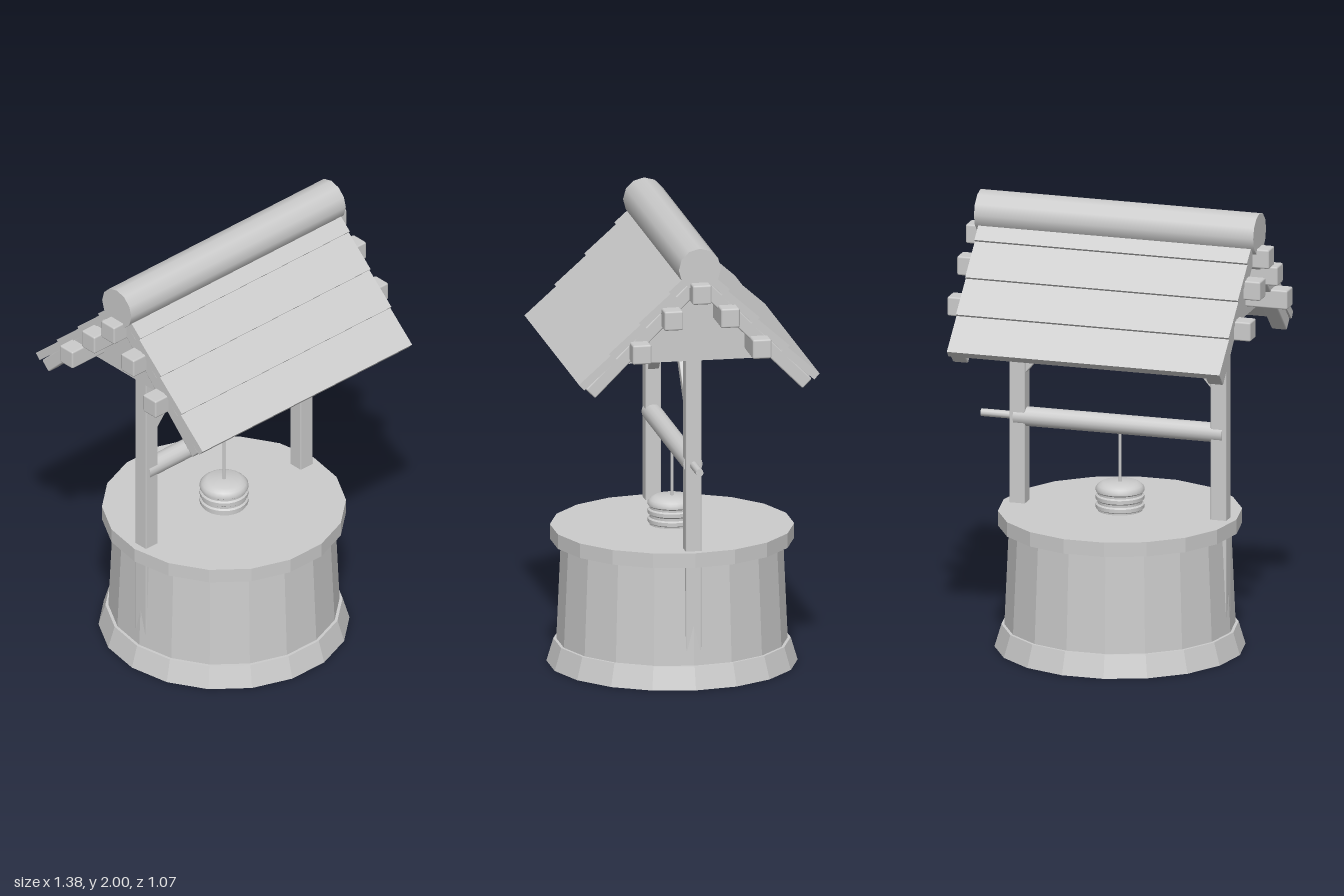
import * as THREE from 'three';
import { toCreasedNormals } from 'three/addons/utils/BufferGeometryUtils.js';
import { RoundedBoxGeometry } from 'three/addons/geometries/RoundedBoxGeometry.js';

export function createModel() {
  const well = new THREE.Group();
  well.name = 'well';
  const grey = new THREE.MeshStandardMaterial({ color: 0xcccccc });
  grey.name = 'grey';

  const add = (name, geometry, x = 0, y = 0, z = 0, parent = well) => {
    const mesh = new THREE.Mesh(geometry, grey);
    mesh.name = name;
    mesh.position.set(x, y, z);
    parent.add(mesh);
    return mesh;
  };
  // Box with a narrow chamfer
  const beam = (w, h, d, r = 0.006) => new RoundedBoxGeometry(w, h, d, 1, r);
  // 18-sided faceted ring of the well, with a corner on the x axis
  const drum = (name, rTop, rBottom, y0, y1) => {
    const g = new THREE.CylinderGeometry(rTop, rBottom, y1 - y0, 18);
    g.rotateY(Math.PI / 18);
    add(name, toCreasedNormals(g, 0.1), 0, (y0 + y1) / 2, 0);
  };
  // Smooth round bar along x
  const bar = (name, r, x0, x1, y, sides) => {
    const g = new THREE.CylinderGeometry(r, r, x1 - x0, sides);
    g.rotateZ(Math.PI / 2);
    add(name, g, (x0 + x1) / 2, y, 0);
  };

  // Well body
  drum('foot', 0.515, 0.545, 0, 0.1);
  drum('wall', 0.482, 0.502, 0.1, 0.55);
  drum('rim', 0.53, 0.53, 0.545, 0.61);

  // Posts and their diagonal braces
  for (const s of [-1, 1]) {
    add('post', beam(0.072, 1.33, 0.07, 0.005), s * 0.458, 0.825, 0);
    const brace = add('brace', beam(0.04, 0.38, 0.05, 0.004), s * 0.325, 1.34, 0);
    brace.rotation.z = s * 0.71;
  }

  // Winding axle with its handle
  bar('axle', 0.043, -0.475, 0.475, 0.995, 16);
  bar('handle', 0.017, 0.46, 0.63, 0.995, 10);

  // Rope and ribbed bucket
  add('rope', new THREE.CylinderGeometry(0.007, 0.007, 0.29, 8), 0, 0.86, 0);
  const profile = [
    [0, 0.58], [0.098, 0.58], [0.098, 0.617], [0.106, 0.622], [0.106, 0.638],
    [0.098, 0.644], [0.098, 0.655], [0.106, 0.661], [0.106, 0.677], [0.098, 0.683],
    [0.098, 0.692], [0.106, 0.698], [0.106, 0.712], [0.098, 0.722], [0.088, 0.73],
    [0.075, 0.736], [0, 0.738],
  ].map(([r, y]) => new THREE.Vector2(r, y));
  add('bucket', toCreasedNormals(new THREE.LatheGeometry(profile, 24), 0.9));

  // Solid gable block under the roof
  const triangle = new THREE.Shape();
  triangle.moveTo(-0.42, 1.465).lineTo(0.42, 1.465).lineTo(0, 1.885).closePath();
  const gable = new THREE.ExtrudeGeometry(triangle, { depth: 1, bevelEnabled: false });
  gable.translate(0, 0, -0.5).rotateY(Math.PI / 2);
  add('gable', gable);

  // Two roof slopes: overlapping planks on a pair of end rafters
  for (const turn of [0, Math.PI]) {
    const side = new THREE.Group();
    side.name = 'roofSide';
    side.rotation.y = turn;
    const slope = new THREE.Group();
    slope.name = 'roofSlope';
    slope.position.y = 1.885;
    slope.rotation.x = Math.PI / 4;
    side.add(slope);
    well.add(side);
    for (let i = 0; i < 4; i++) {
      const plank = add('plank', new THREE.BoxGeometry(1.24, 0.035, 0.195), 0, 0.018, 0.614 - i * 0.187, slope);
      plank.rotation.x = -0.06;
    }
    for (const s of [-1, 1]) add('rafter', beam(0.07, 0.058, 0.71), s * 0.58, -0.028, 0.35, slope);
  }

  // Purlins with ends standing out past the roof
  for (const [y, z] of [[1.805, 0], [1.695, 0.125], [1.695, -0.125], [1.55, 0.265], [1.55, -0.265]]) {
    add('purlin', beam(1.38, 0.086, 0.084, 0.008), 0, y, z);
  }

  // Round ridge log
  bar('ridgeLog', 0.093, -0.635, 0.635, 1.907, 12);

  return well;
}
